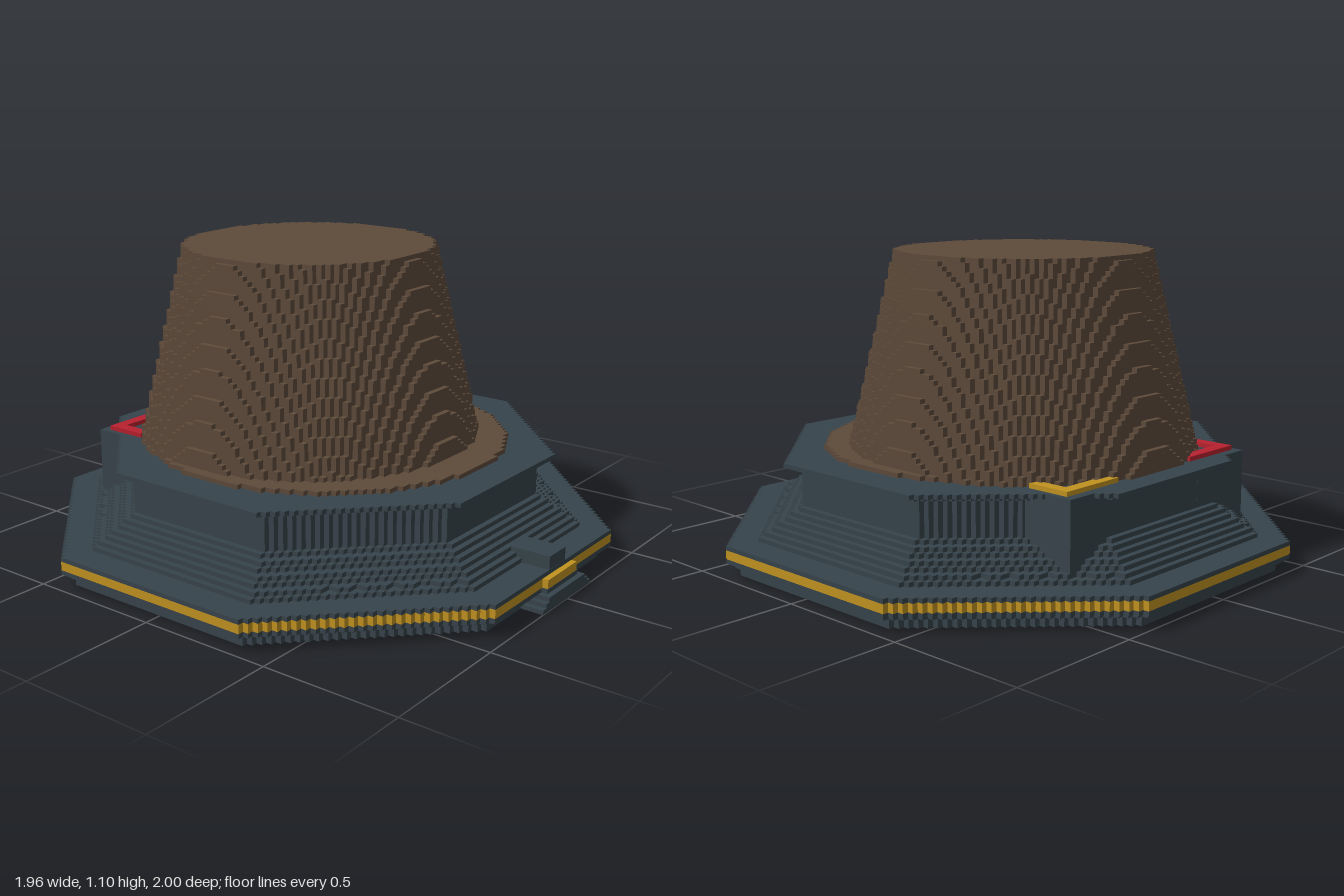
import * as THREE from 'three';
import { mergeGeometries } from 'three/addons/utils/BufferGeometryUtils.js';

const H = 2 / 94;   // horizontal block size
const V = 0.016;    // layer height

// Half-width of an outline at distance d from its centre line
const octagon = r => d => (Math.abs(d) > r ? 0 : Math.min(r, 1.4 * r - Math.abs(d)));
const circle = r => d => (Math.abs(d) > r ? 0 : Math.sqrt(r * r - d * d));

// One slab with a blocky stepped outline, from layer a to layer b
function slab(widthAt, r, a, b, zCells) {
  const n = Math.round(r / H);
  const right = [];
  let last = 0;
  for (let i = -n; i < n; i++) {
    const w = Math.max(1, Math.round(widthAt((i + 0.5) * H) / H)) * H;
    const y = -(i + zCells) * H;
    if (w !== last) {
      if (last) right.push([last, y]);
      right.push([w, y]);
    }
    last = w;
  }
  right.push([last, -(n + zCells) * H]);
  const left = right.map(([x, y]) => [-x, y]).reverse();
  const shape = new THREE.Shape([...right, ...left].map(p => new THREE.Vector2(...p)));
  const g = new THREE.ExtrudeGeometry(shape, { depth: (b - a) * V, bevelEnabled: false });
  g.rotateX(-Math.PI / 2);
  g.translate(0, a * V, 0);
  return g;
}

export function createModel() {
  const model = new THREE.Group();
  const mat = (name, color) => {
    const m = new THREE.MeshStandardMaterial({ color });
    m.name = name;
    return m;
  };
  const slate = mat('slate', 0x37444b);
  const brown = mat('brown', 0x5d4a3a);
  const gold = mat('gold', 0xc0921f);
  const red = mat('red', 0xb8202e);

  const add = (name, geometry, material) => {
    const mesh = new THREE.Mesh(geometry, material);
    mesh.name = name;
    model.add(mesh);
  };
  // Box given by its limits
  const box = (x0, x1, y0, y1, z0, z1) =>
    new THREE.BoxGeometry(x1 - x0, y1 - y0, z1 - z0)
      .translate((x0 + x1) / 2, (y0 + y1) / 2, (z0 + z1) / 2);
  const oct = (cells, a, b) => slab(octagon(cells * H), cells * H, a, b, -1);

  // Octagonal base: flange, stepped slope, wall and lip
  const steps = [[44, 0, 2], [45, 2, 3], [46, 3, 4], [46, 6, 7]];
  for (let i = 0; i < 7; i++) steps.push([41 - i, 7 + i, 8 + i]);
  steps.push([34, 14, 22], [35, 22, 23], [36.5, 23, 24]);
  add('base', mergeGeometries(steps.map(s => oct(...s))), slate);
  add('flangeStripe', oct(46, 4, 6), gold);

  // Round floor and leaning tapered tower
  add('towerFloor', slab(circle(31 * H), 31 * H, 24, 25, -1), brown);
  const tower = [];
  for (let k = 24; k < 69; k++) {
    const r = THREE.MathUtils.lerp(0.625, 0.455, (k - 24) / 44);
    tower.push(slab(circle(r), r, k, k + 1, -5));
  }
  add('tower', mergeGeometries(tower), brown);

  // Rear corner posts with coloured corner brackets on top
  for (const [side, label, material] of [[1, 'left', gold], [-1, 'right', red]]) {
    const mirrored = (x0, x1, ...rest) =>
      side > 0 ? box(x0, x1, ...rest) : box(-x1, -x0, ...rest);
    add(label + 'CornerPost', mirrored(0.2, 0.478, 8 * V, 24 * V, -0.745, -0.53), slate);
    add(label + 'CornerBracket', mergeGeometries([
      mirrored(0.2, 0.457, 24 * V, 25 * V, -0.712, -0.668),
      mirrored(0.413, 0.457, 24 * V, 25 * V, -0.668, -0.55),
    ]), material);
  }

  // Front tab: tapering step, gold edge and raised block
  const tab = [[0.165, 1], [0.145, 1], [0.125, 1], [0.105, 0.98]].map(([w, z], i) =>
    box(-w, w, i * V, (i + 1) * V, 0.9, z));
  add('frontStep', mergeGeometries(tab), slate);
  add('frontStepEdge', box(-0.1, 0.1, 4 * V, 6 * V, 0.9, 0.979), gold);
  add('frontBlock', box(-0.055, 0.055, 7 * V, 10 * V, 0.7, 0.957), slate);

  return model;
}
